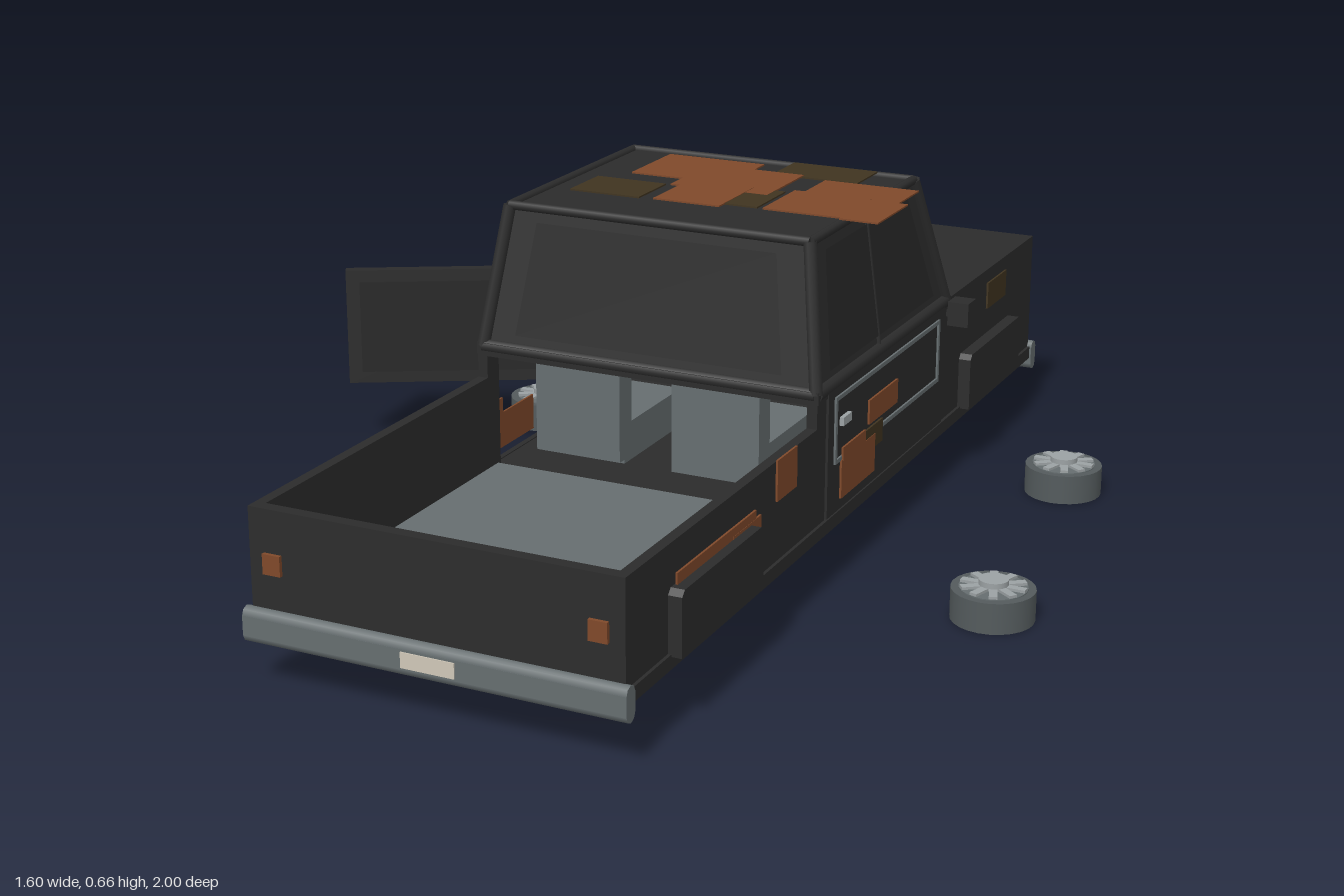
import * as THREE from 'three';

const mat = (name, color, side = THREE.FrontSide) => {
  const m = new THREE.MeshStandardMaterial({ color, side });
  m.name = name;
  return m;
};

export function createModel() {
  const body = mat('charcoal paint', 0x2c2c2c, THREE.DoubleSide);
  const glass = mat('dark glass', 0x272727, THREE.DoubleSide);
  const grey = mat('slate grey', 0x666e70);
  const tyreGrey = mat('tyre grey', 0x545b5d);
  const silver = mat('silver', 0x9ca2a4);
  const cream = mat('cream lamp', 0xd0c8b8);
  const rust = mat('rust', 0x80492a);
  const brown = mat('old brown', 0x403420);

  const root = new THREE.Group();
  root.name = 'pickup';
  const CX = 0.055; // centre line of the truck

  const add = (parent, name, geo, m) => {
    const mesh = new THREE.Mesh(geo, m);
    mesh.name = name;
    parent.add(mesh);
    return mesh;
  };
  // Box given by its limits on each axis
  const box = (name, m, x0, x1, y0, y1, z0, z1, parent = root) => {
    const mesh = add(parent, name, new THREE.BoxGeometry(x1 - x0, y1 - y0, z1 - z0), m);
    mesh.position.set((x0 + x1) / 2, (y0 + y1) / 2, (z0 + z1) / 2);
    return mesh;
  };
  const bar = (name, m, a, b, r) => {
    const d = b.clone().sub(a);
    const mesh = add(root, name, new THREE.CylinderGeometry(r, r, d.length(), 8), m);
    mesh.position.copy(a).add(b).multiplyScalar(0.5);
    mesh.quaternion.setFromUnitVectors(new THREE.Vector3(0, 1, 0), d.normalize());
  };
  const quad = (name, m, c) => {
    const g = new THREE.BufferGeometry().setFromPoints(c);
    g.setIndex([0, 1, 2, 0, 2, 3]);
    g.computeVertexNormals();
    return add(root, name, g, m);
  };

  // Hollow lower body
  box('floorPan', body, -0.29, 0.40, 0.11, 0.132, -0.975, 0.98);
  box('bedFloor', grey, -0.27, 0.38, 0.132, 0.14, 0.2, 0.955);
  box('tailgate', body, -0.29, 0.40, 0.13, 0.32, 0.957, 0.98);
  box('hood', body, -0.29, 0.40, 0.37, 0.384, -0.975, -0.44);
  for (const s of [-1, 1]) {
    const wall = (name, m, inX, outX, ...r) => {
      const a = CX + s * inX, b = CX + s * outX;
      return box(name, m, Math.min(a, b), Math.max(a, b), ...r);
    };
    wall('bedSide', body, 0.325, 0.345, 0.13, 0.32, 0.23, 0.98);
    wall('rearPillar', body, 0.325, 0.345, 0.13, 0.38, 0.19, 0.232);
    wall('fender', body, 0.325, 0.345, 0.13, 0.38, -0.975, -0.41);
    wall('sill', body, 0.34, 0.351, 0.108, 0.134, -0.975, 0.98);
    wall('beltRail', body, 0.322, 0.347, 0.365, 0.388, -0.45, 0.232);
    wall('mirror', body, 0.352, 0.395, 0.335, 0.384, -0.462, -0.418);
    wall('mirrorArm', body, 0.335, 0.355, 0.35, 0.365, -0.45, -0.43);
    // Wheel arch panels with chamfered upper corners
    for (const z of [-0.675, 0.675]) {
      const arch = new THREE.Shape([[-0.158, 0.13], [0.158, 0.13], [0.158, 0.235],
        [0.148, 0.245], [-0.148, 0.245], [-0.158, 0.235]].map(p => new THREE.Vector2(...p)));
      const g = new THREE.ExtrudeGeometry(arch, { depth: 0.025, bevelEnabled: false });
      const m = add(root, 'archPanel', g, body);
      m.rotation.y = s * Math.PI / 2;
      m.position.set(CX + s * 0.345, 0, z);
    }
    // Lamps
    wall('headlight', cream, 0.215, 0.305, 0.20, 0.285, -0.985, -0.965);
    wall('tailLamp', rust, 0.283, 0.317, 0.207, 0.243, 0.979, 0.987);
  }

  // Bumpers with rounded edges, and plates
  for (const s of [-1, 1]) {
    const z = s * 0.983;
    box('bumper', grey, -0.3, 0.41, 0.095, 0.131, z - 0.015, z + 0.015);
    for (const y of [0.096, 0.13]) {
      bar('bumperEdge', grey, new THREE.Vector3(-0.3, y, z), new THREE.Vector3(0.41, y, z), 0.015);
    }
    box('plate', cream, 0.005, 0.105, 0.099, 0.127, s > 0 ? 0.996 : -1.0, s > 0 ? 1.0 : -0.996);
  }

  // Grille and hood strip
  box('grillePanel', body, -0.06, 0.17, 0.135, 0.25, -0.965, -0.955);
  for (let i = 0; i < 4; i++) {
    const x = CX + (i - 1.5) * 0.058;
    box('grilleSlat', silver, x - 0.008, x + 0.008, 0.145, 0.24, -0.975, -0.965);
  }
  box('hoodStrip', silver, -0.06, 0.165, 0.383, 0.388, -0.962, -0.942);

  // Tapered cab: lower and upper corner loops
  const loop = (hx, y, zf, zb) => [[-hx, zb], [hx, zb], [hx, zf], [-hx, zf]]
    .map(([x, z]) => new THREE.Vector3(CX + x, y, z));
  const low = loop(0.338, 0.38, -0.44, 0.222);
  const top = loop(0.302, 0.645, -0.335, 0.175);
  const mid = new THREE.Vector3(CX, 0.5, -0.1);
  quad('roof', body, [top[0], top[1], top[2], top[3]]);
  const windowNames = ['rearWindow', 'leftWindow', 'windshield', 'rightWindow'];
  for (let i = 0; i < 4; i++) {
    const j = (i + 1) % 4;
    const c = [low[i], low[j], top[j], top[i]];
    quad('cabPanel', body, c);
    // Glass inset within the frame, just proud of the panel
    const n = c[1].clone().sub(c[0]).cross(c[3].clone().sub(c[0])).normalize();
    const cen = c.reduce((a, v) => a.add(v), new THREE.Vector3()).multiplyScalar(0.25);
    if (n.dot(cen.clone().sub(mid)) < 0) n.negate();
    quad(windowNames[i], glass, c.map(v => v.clone().lerp(cen, 0.2).addScaledVector(n, 0.004)));
    bar('cabPost', body, low[i], top[i], 0.013);
    bar('roofRail', body, top[i], top[j], 0.009);
    bar('cabBase', body, low[i], low[j], 0.013);
  }
  box('rearBeltRail', body, -0.285, 0.395, 0.363, 0.388, 0.205, 0.232);
  for (const s of [-1, 1]) {
    const m = mid.clone().add(low[s > 0 ? 1 : 0]).multiplyScalar(0.5);
    bar('centrePost', body, new THREE.Vector3(CX + s * 0.339, 0.38, -0.08),
      new THREE.Vector3(CX + s * 0.304, 0.645, -0.08), 0.005);
    bar('wiper', body, new THREE.Vector3(CX + s * 0.165, 0.386, -0.45),
      new THREE.Vector3(CX + s * 0.165, 0.415, -0.465), 0.004);
  }

  // Seats
  for (const x of [-0.15, 0.14]) {
    box('seatCushion', grey, x - 0.09, x + 0.09, 0.132, 0.21, -0.17, 0.08);
    box('seatBack', grey, x - 0.09, x + 0.09, 0.14, 0.38, 0.05, 0.1);
  }

  // Doors: hinge at the local origin, panel running along +z, outer face on side s
  const door = (name, s) => {
    const g = new THREE.Group();
    g.name = name;
    root.add(g);
    const slab = (n, m, a, b, ...r) => box(n, m, Math.min(s * a, s * b), Math.max(s * a, s * b), ...r, g);
    slab('doorPanel', body, -0.018, 0.004, 0.135, 0.38, 0, 0.598);
    slab('innerPanel', glass, -0.022, -0.018, 0.16, 0.355, 0.03, 0.57);
    for (const y of [0.235, 0.355]) slab('doorTrim', grey, 0.004, 0.008, y - 0.004, y + 0.004, 0.035, 0.57);
    for (const z of [0.038, 0.567]) slab('doorTrim', grey, 0.004, 0.008, 0.235, 0.355, z - 0.004, z + 0.004);
    slab('doorHandle', silver, 0.004, 0.012, 0.298, 0.314, 0.505, 0.545);
    return g;
  };
  door('leftDoor', 1).position.set(0.40, 0, -0.41);
  const open = door('rightDoor', -1);
  open.position.set(-0.285, 0, -0.405);
  open.rotation.y = -1.06;

  // Rust patches: x0, x1, z0, z1 on roof and hood
  const flat = (m, y, list) => list.forEach(([x0, x1, z0, z1], i) =>
    box('patch', m, x0, x1, y + i * 0.0006, y + 0.003 + i * 0.0006, z0, z1));
  flat(rust, 0.653, [[-0.14, 0.065, -0.285, -0.115], [-0.03, 0.17, -0.235, -0.06],
    [-0.01, 0.125, -0.1, 0.055], [0.225, 0.415, -0.21, 0.035], [0.205, 0.36, -0.11, 0.04], [0.36, 0.435, -0.1, 0.05]]);
  flat(brown, 0.652, [[0.11, 0.285, -0.33, -0.225], [-0.185, -0.04, -0.06, 0.055], [0.12, 0.19, -0.1, 0.03]]);
  flat(brown, 0.3835, [[-0.06, 0.06, -0.84, -0.745], [-0.09, 0.015, -0.74, -0.65], [0.155, 0.31, -0.64, -0.545]]);
  // Side patches: z0, z1, y0, y1 at a given x
  const upright = (m, x, list) => list.forEach(([z0, z1, y0, y1], i) =>
    box('patch', m, x - 0.002 + i * 0.0006, x + 0.002 + i * 0.0006, y0, y1, z0, z1));
  upright(rust, 0.404, [[0.505, 0.81, 0.18, 0.265], [0.485, 0.6, 0.165, 0.25], [0.335, 0.42, 0.25, 0.325]]);
  upright(rust, 0.408, [[-0.03, 0.135, 0.158, 0.232], [0.02, 0.13, 0.22, 0.255], [-0.14, 0.005, 0.26, 0.307]]);
  upright(brown, 0.407, [[-0.07, 0.055, 0.205, 0.25]]);
  upright(brown, 0.402, [[-0.79, -0.675, 0.3, 0.355]]);
  upright(rust, -0.295, [[-0.8, -0.6, 0.2, 0.285], [-0.63, -0.45, 0.25, 0.32],
    [0.02, 0.2, 0.15, 0.22], [0.14, 0.36, 0.16, 0.25], [0.32, 0.48, 0.18, 0.25]]);

  // Detached wheels lying flat
  for (const [x, z] of [[-0.5, -0.41], [0.64, -0.485], [-0.573, 0.25], [0.72, 0.178]]) {
    const w = new THREE.Group();
    w.name = 'wheel';
    w.position.set(x, 0, z);
    root.add(w);
    const disc = (name, m, r, y0, y1) =>
      add(w, name, new THREE.CylinderGeometry(r, r, y1 - y0, 24), m).position.y = (y0 + y1) / 2;
    disc('tyre', tyreGrey, 0.076, 0, 0.058);
    disc('rim', grey, 0.062, 0.05, 0.06);
    disc('hub', silver, 0.027, 0.05, 0.075);
    for (let i = 0; i < 10; i++) {
      const spoke = add(w, 'spoke', new THREE.BoxGeometry(0.04, 0.006, 0.015), silver);
      const a = i * Math.PI / 5;
      spoke.position.set(Math.cos(a) * 0.04, 0.062, -Math.sin(a) * 0.04);
      spoke.rotation.y = a;
    }
  }
  return root;
}
